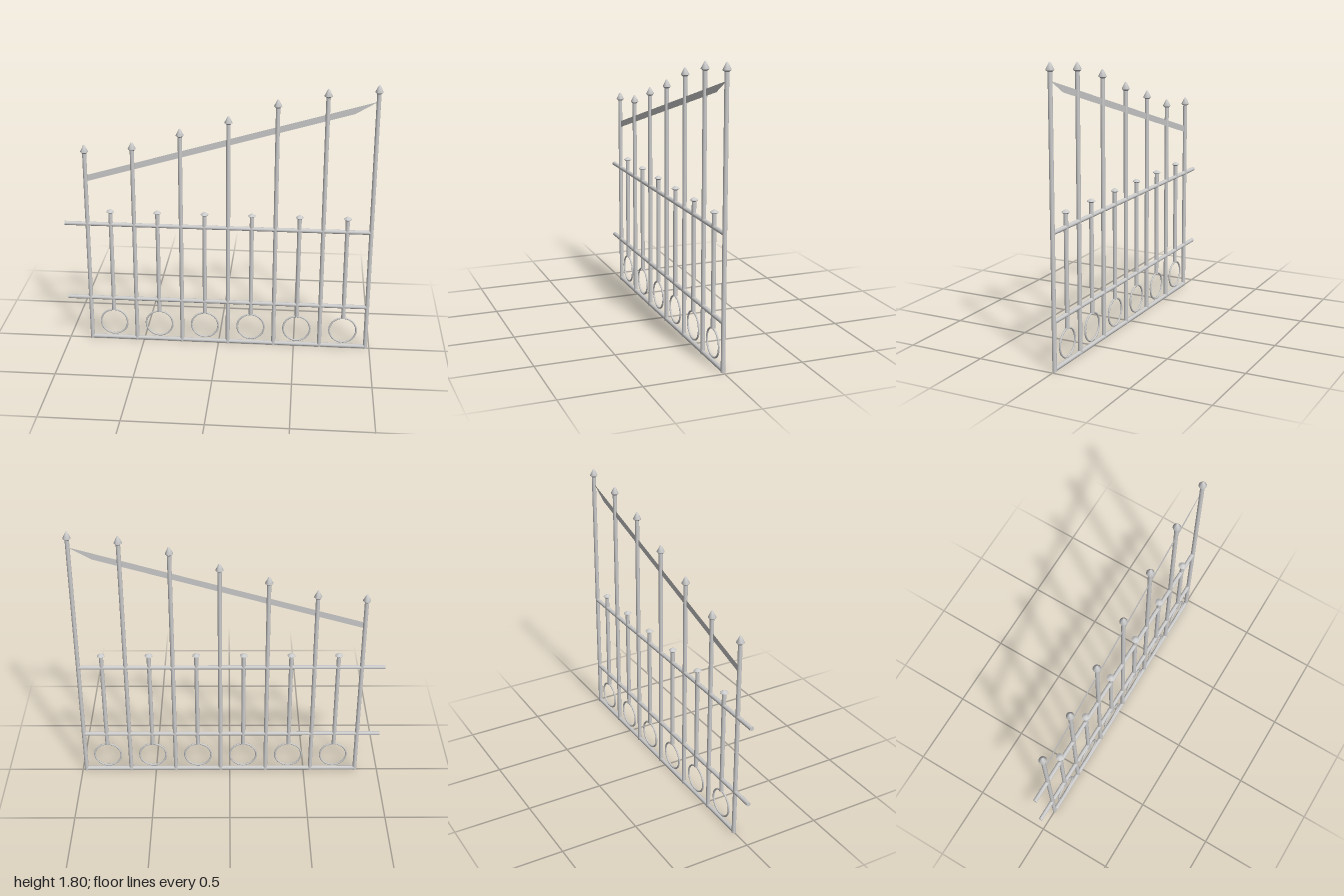
import * as THREE from 'three';
import { toCreasedNormals } from 'three/addons/utils/BufferGeometryUtils.js';

const material = new THREE.MeshStandardMaterial({ color: 0xcccccc });
const sheetMaterial = new THREE.MeshStandardMaterial({ color: 0xcccccc, side: THREE.DoubleSide });
const BAR = 0.0135; // bar radius
const FIRST = -0.85, STEP = 0.304;

function add(parent, name, geometry, x = 0, y = 0, mat = material) {
  const mesh = new THREE.Mesh(geometry, mat);
  mesh.name = name;
  mesh.position.set(x, y, 0);
  parent.add(mesh);
}

function upright(parent, name, x, y0, y1) {
  add(parent, name, new THREE.CylinderGeometry(BAR, BAR, y1 - y0, 16), x, (y0 + y1) / 2);
}

function rail(parent, name, x0, x1, y) {
  const geometry = new THREE.CylinderGeometry(BAR, BAR, x1 - x0, 16).rotateZ(Math.PI / 2);
  add(parent, name, geometry, (x0 + x1) / 2, y);
}

function finial(profile) {
  const points = profile.map(([r, y]) => new THREE.Vector2(r, y));
  return toCreasedNormals(new THREE.LatheGeometry(points, 20), 0.6);
}

export function createModel() {
  const gate = new THREE.Group();
  gate.name = 'gate';

  // Pointed tips, measured down from the point
  const spear = finial([[0, -0.056], [0.0135, -0.056], [0.025, -0.046], [0.025, -0.043],
    [0.006, -0.005], [0, 0]]);
  const cap = finial([[0, -0.026], [0.0135, -0.026], [0.025, -0.018], [0.025, -0.016],
    [0.008, -0.003], [0, 0]]);

  // Tall posts rising to the high side
  [1.369, 1.396, 1.493, 1.584, 1.697, 1.77, 1.801].forEach((top, i) => {
    const x = FIRST + i * STEP;
    upright(gate, 'tallPost', x, 0, top - 0.05);
    add(gate, 'spearTip', spear, x, top);
  });

  // Short posts standing on rings, between the tall ones
  for (let i = 0; i < 6; i++) {
    const x = FIRST + (i + 0.5) * STEP;
    upright(gate, 'shortPost', x, 0.217, 0.915);
    add(gate, 'postCap', cap, x, 0.938);
    add(gate, 'ring', new THREE.TorusGeometry(0.0885, 0.006, 8, 48), x, 0.128);
  }

  // Horizontal rails
  const last = FIRST + 6 * STEP;
  rail(gate, 'bottomRail', FIRST, last, BAR);
  rail(gate, 'lowerRail', -1, last, 0.303);
  rail(gate, 'upperRail', -1, last, 0.832);

  // Sloping flat brace, tapering to a point at its high end
  const outline = new THREE.Shape([[-0.85, 1.123], [0.835, 1.614], [last, 1.696], [-0.85, 1.165]]
    .map(([x, y]) => new THREE.Vector2(x, y)));
  add(gate, 'slopingBrace', new THREE.ShapeGeometry(outline), 0, 0, sheetMaterial);

  return gate;
}
